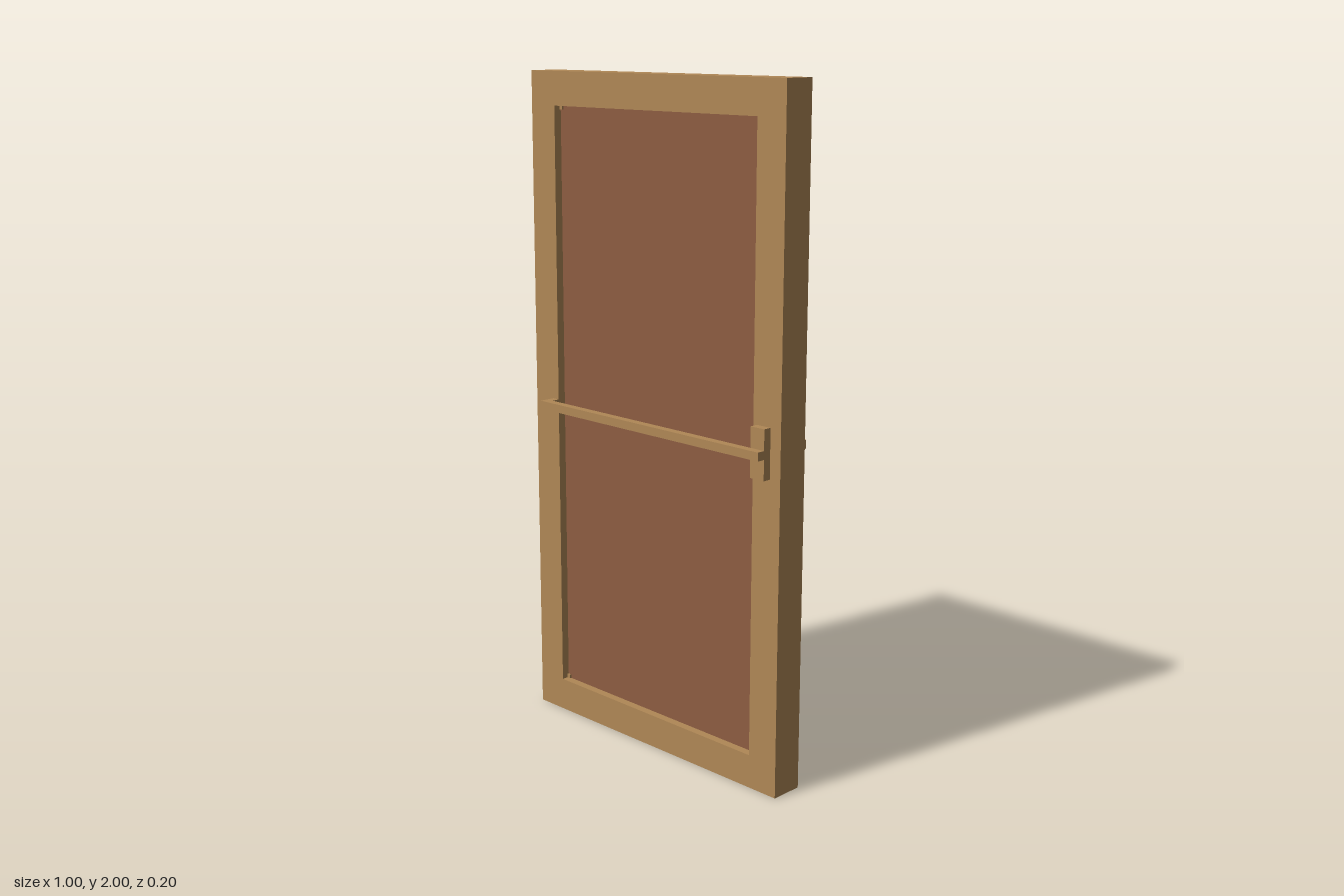
import * as THREE from 'three';

export function createModel() {
  const model = new THREE.Group();
  model.name = 'door';
  const wood = new THREE.MeshStandardMaterial({ color: 0xb08856 });
  wood.name = 'light wood';
  const panelWood = new THREE.MeshStandardMaterial({ color: 0x8e5d42 });
  panelWood.name = 'brown panel';

  // Box given by its minimum and maximum on each axis
  function box(name, material, [x0, x1], [y0, y1], [z0, z1], parent = model) {
    const mesh = new THREE.Mesh(new THREE.BoxGeometry(x1 - x0, y1 - y0, z1 - z0), material);
    mesh.position.set((x0 + x1) / 2, (y0 + y1) / 2, (z0 + z1) / 2);
    mesh.name = name;
    parent.add(mesh);
  }

  // Frame: one solid with a rectangular opening
  const outline = new THREE.Shape([[-0.5, 0], [0.5, 0], [0.5, 2], [-0.5, 2]]
    .map(([x, y]) => new THREE.Vector2(x, y)));
  outline.holes.push(new THREE.Path([[-0.4, 0.1], [-0.4, 1.9], [0.4, 1.9], [0.4, 0.1]]
    .map(([x, y]) => new THREE.Vector2(x, y))));
  const frameGeometry = new THREE.ExtrudeGeometry(outline, { depth: 0.1, bevelEnabled: false });
  frameGeometry.translate(0, 0, -0.05);
  const frame = new THREE.Mesh(frameGeometry, wood);
  frame.name = 'frame';
  model.add(frame);

  // Recessed panel
  box('panel', panelWood, [-0.4, 0.4], [0.1, 1.9], [-0.025, 0.025]);

  // Small blocks in the corners of the opening
  for (const x of [-0.394, 0.394]) {
    for (const y of [0.106, 1.894]) {
      box('cornerBlock', wood, [x - 0.006, x + 0.006], [y - 0.006, y + 0.006], [-0.03, 0.03]);
    }
  }

  // Push bar with its post and latch plate, on both faces
  for (const side of [1, -1]) {
    const handle = new THREE.Group();
    handle.name = side > 0 ? 'frontPushBar' : 'backPushBar';
    const depth = (a, b) => (side > 0 ? [a, b] : [-b, -a]);
    box('bar', wood, [-0.425, 0.4625], [0.99, 1.015], depth(0.075, 0.1), handle);
    box('post', wood, [-0.425, -0.4], [0.99, 1.015], depth(0.05, 0.075), handle);
    box('latchPlate', wood, [0.4125, 0.4625], [0.93, 1.075], depth(0.05, 0.075), handle);
    model.add(handle);
  }

  return model;
}
